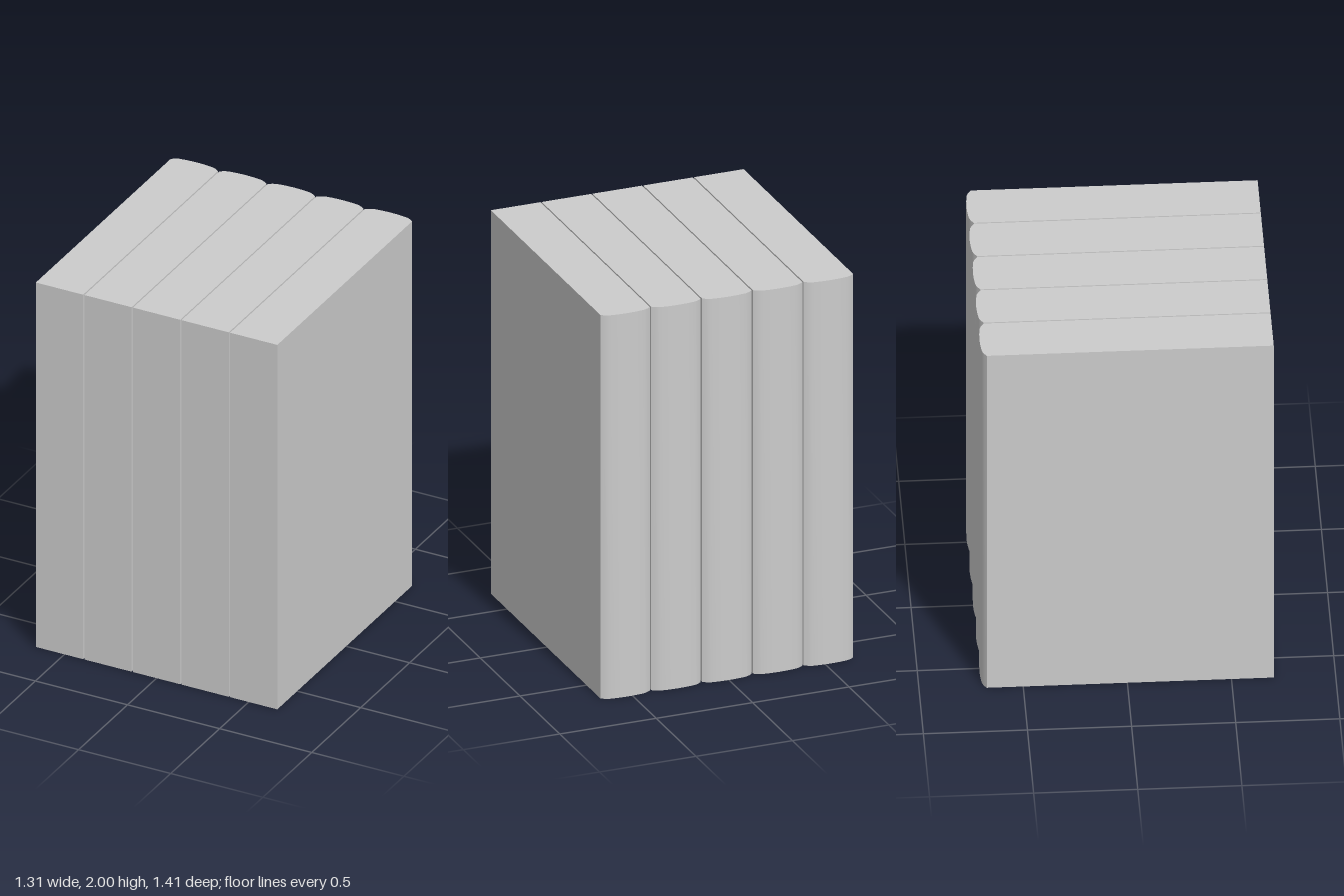
import * as THREE from 'three';
import { toCreasedNormals } from 'three/addons/utils/BufferGeometryUtils.js';

const COUNT = 5, WIDTH = 0.2565, GAP = 0.007, HEIGHT = 2, HALF_DEPTH = 0.703;

// Book outline seen from above: square at the front, gently rounded spine at the back.
function bookShape() {
  const w = WIDTH / 2, d = HALF_DEPTH;
  const half = [[w, d - 0.028], [w - 0.017, d - 0.016], [w - 0.037, d - 0.007], [w - 0.08, d - 0.002]];
  const spine = [...half, [0, d], ...half.map(([x, y]) => [-x, y]).reverse()];
  const outline = [[-w, -d], [w, -d], ...spine];
  return new THREE.Shape(outline.map(([x, y]) => new THREE.Vector2(x, y)));
}

export function createModel() {
  const model = new THREE.Group();
  model.name = 'bookRow';
  const material = new THREE.MeshStandardMaterial({ color: 0xcccccc });

  // Upright book, with the spine smoothed and the corners kept sharp
  const extruded = new THREE.ExtrudeGeometry(bookShape(), { depth: HEIGHT, bevelEnabled: false });
  extruded.rotateX(-Math.PI / 2);
  const geometry = toCreasedNormals(extruded, 0.7);

  // Row of equal books with narrow gaps
  for (let i = 0; i < COUNT; i++) {
    const book = new THREE.Mesh(geometry, material);
    book.name = `book${i + 1}`;
    book.position.x = (i - (COUNT - 1) / 2) * (WIDTH + GAP);
    model.add(book);
  }
  return model;
}
